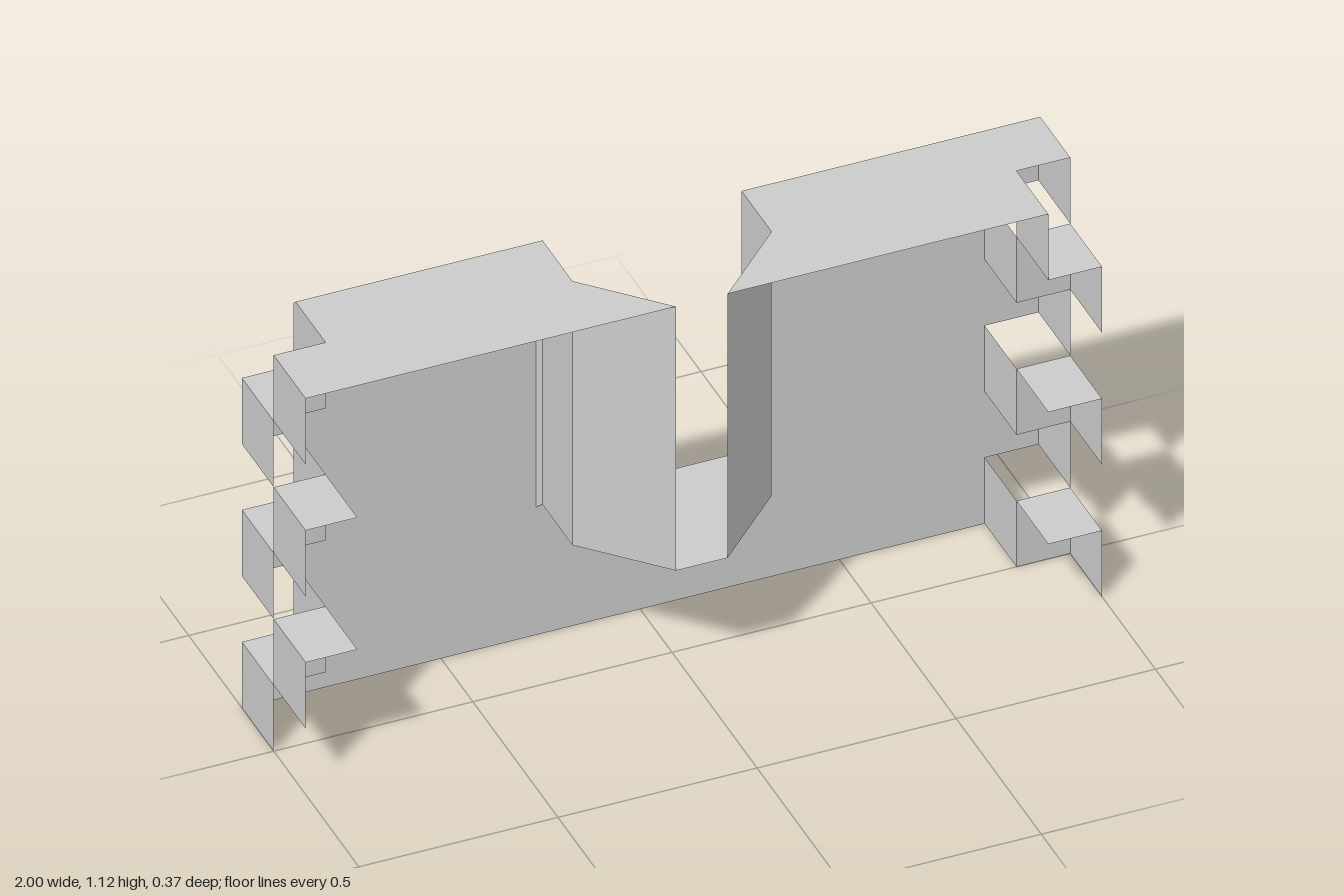
import * as THREE from 'three';

const H = 1.123, ROWS = 6, R = H / ROWS; // height, finger rows
const D = 0.187, C = 0.011;              // half depth, chamfer
const N = 0.25, FLOOR = 0.374;           // notch half width and floor
const LIP = { '-1': -0.07, 1: 0.06 };    // narrow front edges of the notch
const ROOT = { '-1': -0.87, 1: 0.865 };  // where the end fingers begin

export function createModel() {
  const model = new THREE.Group();
  const material = new THREE.MeshStandardMaterial({
    color: 0xcccccc, side: THREE.DoubleSide, flatShading: true,
  });

  const add = (name, geometry) => {
    const mesh = new THREE.Mesh(geometry, material);
    mesh.name = name;
    model.add(mesh);
    return mesh;
  };

  // Flat convex panel from its corners, reversed on the mirrored side
  const panel = (name, corners, flip = false) => {
    const pts = flip ? [...corners].reverse() : corners;
    const index = [];
    for (let i = 1; i < pts.length - 1; i++) index.push(0, i, i + 1);
    const g = new THREE.BufferGeometry();
    g.setAttribute('position', new THREE.Float32BufferAttribute(pts.flat(), 3));
    g.setIndex(index);
    g.computeVertexNormals();
    return add(name, g);
  };

  const outline = (pts) =>
    new THREE.ShapeGeometry(new THREE.Shape(pts.map(([x, y]) => new THREE.Vector2(x, y))));

  // Back half of a row reaches the end on odd rows at +x, even rows at -x
  const backReaches = (s, r) => (r % 2 === 1) === (s > 0);

  // Back wall with stepped ends and the notch cut from its top
  const wall = [];
  for (let r = 0; r < ROWS; r++) {
    const x = backReaches(1, r) ? 1 : ROOT[1];
    wall.push([x, r * R], [x, r === ROWS - 1 ? H - C : (r + 1) * R]);
  }
  for (const s of [1, -1]) {
    const side = [[s * (N + C), H - C], [s * (N + C), FLOOR - C], [s * N, FLOOR]];
    wall.push(...(s > 0 ? side : side.reverse()));
  }
  for (let r = ROWS - 1; r >= 0; r--) {
    const x = backReaches(-1, r) ? -1 : ROOT[-1];
    wall.push([x, r === ROWS - 1 ? H - C : (r + 1) * R], [x, r * R]);
  }
  const wallGeometry = outline(wall.map(([x, y]) => [-x, y]));
  wallGeometry.rotateY(Math.PI);
  add('backWall', wallGeometry).position.z = -D;

  // Top surfaces, one each side of the notch
  const topEnds = {
    '-1': [[-1, D], [-1, 0], [ROOT[-1], 0], [ROOT[-1], C - D]],
    1: [[ROOT[1], D], [ROOT[1], 0], [1, 0], [1, C - D]],
  };
  for (const s of [-1, 1]) {
    const pts = [...topEnds[s], [s * N, C - D], [s * N, 0], [LIP[s], D]];
    const g = outline(pts.map(([x, z]) => [x, -z]));
    g.rotateX(-Math.PI / 2);
    add(s > 0 ? 'leftTop' : 'rightTop', g).position.y = H;
  }

  // Notch floor
  panel('notchFloor', [
    [-N, FLOOR, -D], [-N, FLOOR, 0], [LIP[-1], FLOOR, D],
    [LIP[1], FLOOR, D], [N, FLOOR, 0], [N, FLOOR, -D],
  ]);

  for (const s of [-1, 1]) {
    const flip = s < 0;
    // Straight and slanted notch sides
    panel('notchSide', [
      [s * N, FLOOR, C - D], [s * N, FLOOR, 0], [s * N, H, 0], [s * N, H, C - D],
    ], flip);
    panel('notchSlant', [
      [s * N, FLOOR, 0], [LIP[s], FLOOR, D], [LIP[s], H, D], [s * N, H, 0],
    ], flip);
    // Chamfers beside the notch and along the top
    panel('notchChamfer', [
      [s * (N + C), FLOOR - C, -D], [s * N, FLOOR, C - D],
      [s * N, H, C - D], [s * (N + C), H - C, -D],
    ], flip);
    const end = s > 0 ? 1 : ROOT[-1];
    panel('topChamfer', [
      [end, H - C, -D], [s * (N + C), H - C, -D], [s * N, H, C - D], [end, H, C - D],
    ], flip);

    // Interlocking end fingers
    for (let r = 0; r < ROWS; r++) {
      const y0 = r * R, y1 = y0 + R, top = r === ROWS - 1;
      const back = backReaches(s, r);
      const root = ROOT[s];

      // End face of the back half, with its corner cut on the top row
      const xb = back ? s : root;
      panel('backFingerEnd', [
        [xb, y0, 0], [xb, y0, -D],
        ...(top ? [[xb, y1 - C, -D], [xb, y1, C - D]] : [[xb, y1, -D]]),
        [xb, y1, 0],
      ], flip);

      // End face of the front half; most recessed ones are open
      const xf = back ? root : s;
      if (!back || (top && s > 0)) {
        panel('frontFingerEnd', [[xf, y0, D], [xf, y0, 0], [xf, y1, 0], [xf, y1, D]], flip);
      }

      // Rear face of a front finger
      if (!back) {
        panel('frontFingerBack', [[s, y0, 0], [root, y0, 0], [root, y1, 0], [s, y1, 0]], flip);
      }

      // Upper face of whichever finger stands out in this row
      if (!top) {
        const [za, zb] = back ? [-D, 0] : [0, D];
        panel('fingerTop', [[root, y1, za], [root, y1, zb], [s, y1, zb], [s, y1, za]], flip);
      }
    }
  }
  return model;
}
